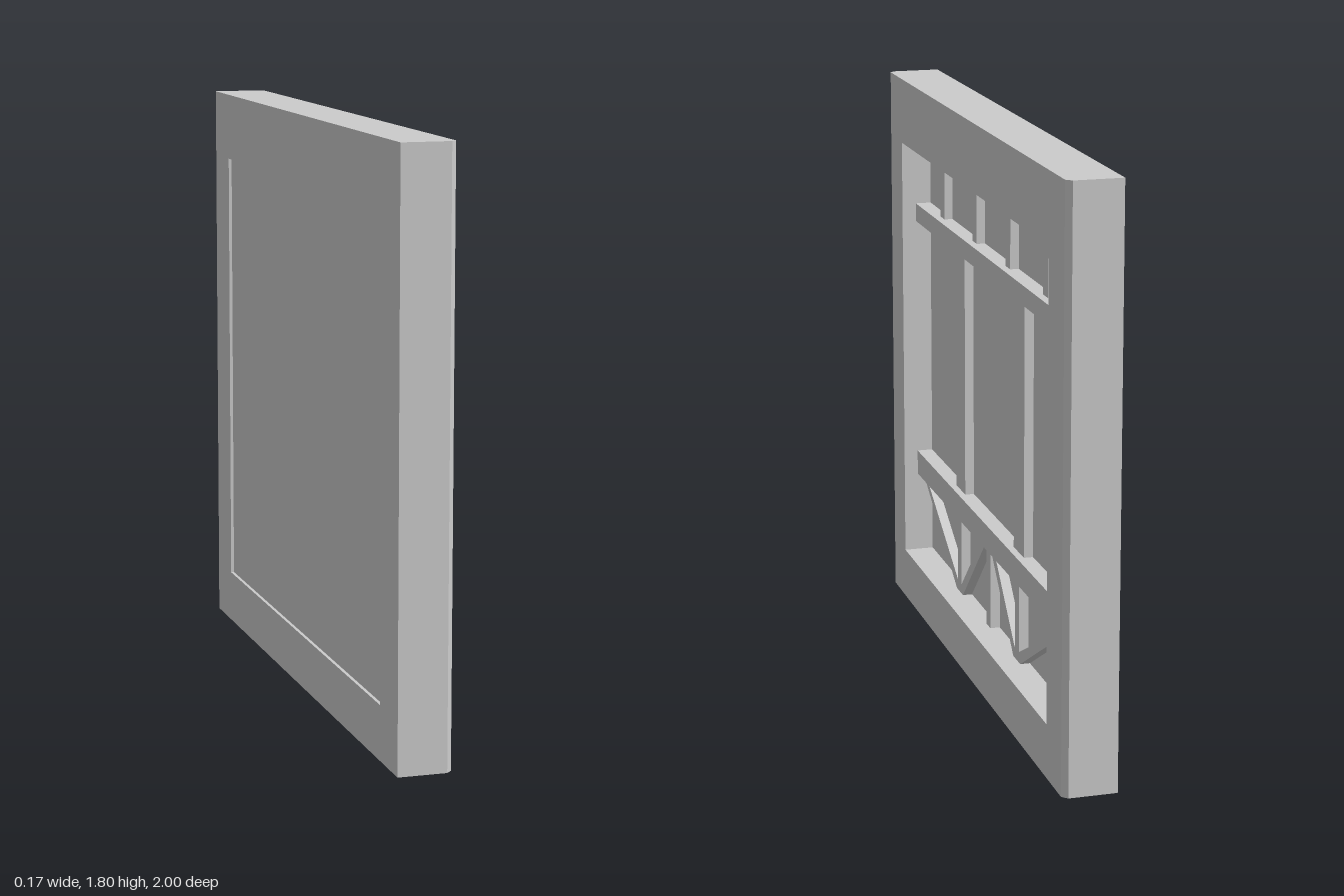
import * as THREE from 'three';

const material = new THREE.MeshStandardMaterial({ color: 0xcccccc, flatShading: true });

// Opening of the frame and the panel's faces
const Z0 = -0.835, Z1 = 0.836, Y0 = 0.167, Y1 = 1.587;
const HALF = 0.083, CHAMFER = 0.017;
const PANEL_BACK = -0.073, PANEL_FRONT = -0.014;
const RAIL_BOTTOM = 0.438;

export function createModel() {
  const group = new THREE.Group();

  const add = (name, geometry) => {
    const mesh = new THREE.Mesh(geometry, material);
    mesh.name = name;
    group.add(mesh);
    return mesh;
  };

  // Box given by its limits on each axis
  const box = (name, x0, x1, y0, y1, z0, z1) =>
    add(name, new THREE.BoxGeometry(x1 - x0, y1 - y0, z1 - z0))
      .position.set((x0 + x1) / 2, (y0 + y1) / 2, (z0 + z1) / 2);

  // Outline in (z, y); local x is -z so that a quarter turn puts the depth on +x
  const outline = (points, Type = THREE.Shape) =>
    new Type(points.map(([z, y]) => new THREE.Vector2(-z, y)));
  // Counter-clockwise rectangle once z is negated
  const rect = (z0, z1, y0, y1) => [[z1, y0], [z0, y0], [z0, y1], [z1, y1]];

  // Frame with a through opening and chamfered vertical front edges
  const frameShape = outline(rect(-1, 1, 0, 1.8));
  frameShape.holes.push(outline(rect(Z0, Z1, Y0, Y1), THREE.Path));
  const depth = 2 * HALF;
  const frame = new THREE.ExtrudeGeometry(frameShape, { depth, steps: 2, bevelEnabled: false });
  const p = frame.attributes.position;
  for (let i = 0; i < p.count; i++) {
    const d = p.getZ(i);
    if (Math.abs(d - HALF) < 0.001) p.setZ(i, depth - CHAMFER);
    else if (d > HALF && Math.abs(p.getX(i)) > 0.99) p.setX(i, Math.sign(p.getX(i)) * (1 - CHAMFER));
  }
  frame.rotateY(Math.PI / 2).translate(-HALF, 0, 0);
  frame.computeVertexNormals();
  add('frame', frame);

  // Recessed panel
  box('panel', PANEL_BACK, PANEL_FRONT, Y0, Y1, Z0, Z1);

  // Horizontal rails
  box('upperRail', PANEL_FRONT, 0.037, 1.32, 1.38, -0.825, Z1);
  box('lowerRail', PANEL_FRONT, 0.037, RAIL_BOTTOM, 0.52, -0.825, Z1);

  // Tall posts between the rails
  for (const z of [0.355, -0.317]) {
    box('post', PANEL_FRONT, 0.015, 0.52, 1.316, z - 0.055, z + 0.055);
  }

  // Short posts above the upper rail
  for (const z of [0.579, 0.188, -0.187, -0.577]) {
    box('shortPost', PANEL_FRONT, 0.013, 1.38, 1.584, z - 0.025, z + 0.025);
  }

  // Trusses below the lower rail: two diagonals meeting an upright at the foot
  const strutFront = 0.017;
  const addTruss = (outer, foot, inner) => {
    const s = Math.sign(foot), top = RAIL_BOTTOM, fork = 0.2;
    const geometry = new THREE.ExtrudeGeometry(outline([
      [outer, top], [foot + s * 0.038, Y0], [foot - s * 0.038, Y0], [inner, top],
      [inner + s * 0.045, top], [foot - s * 0.022, fork], [foot - s * 0.022, top],
      [foot + s * 0.022, top], [foot + s * 0.022, fork], [outer - s * 0.038, top],
    ]), { depth: strutFront - PANEL_FRONT, bevelEnabled: false });
    geometry.rotateY(Math.PI / 2).translate(PANEL_FRONT, 0, 0);
    add('truss', geometry);
  };
  addTruss(0.835, 0.363, 0.045);
  addTruss(-0.825, -0.304, -0.005);
  box('middleStrut', PANEL_FRONT, strutFront, Y0, RAIL_BOTTOM, -0.006, 0.042);

  return group;
}
